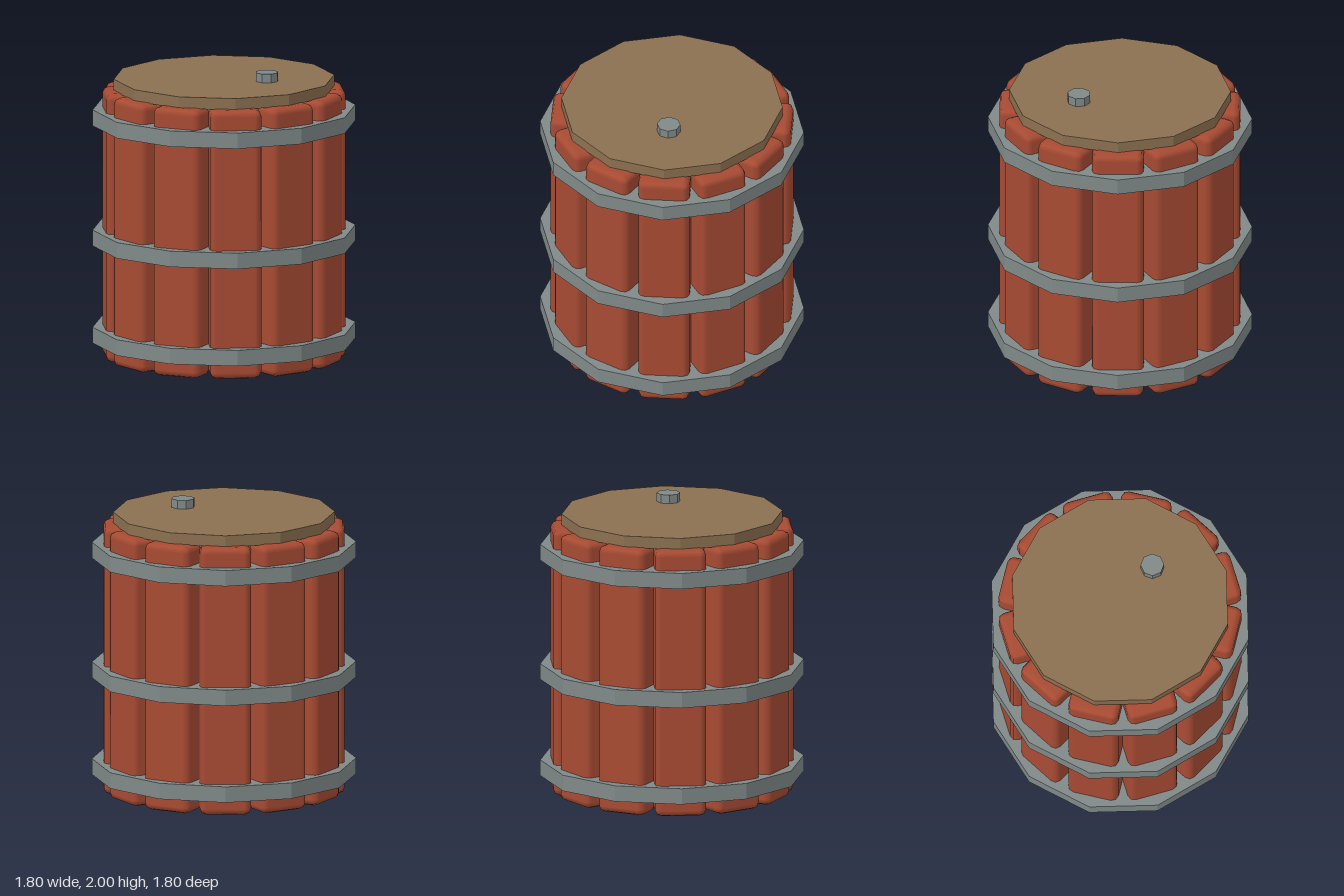
import * as THREE from 'three';
import { RoundedBoxGeometry } from 'three/addons/geometries/RoundedBoxGeometry.js';

function material(name, color, flatShading) {
  const m = new THREE.MeshStandardMaterial({ color, flatShading });
  m.name = name;
  return m;
}

export function createModel() {
  const barrel = new THREE.Group();
  barrel.name = 'barrel';

  const redWood = material('redWood', 0xa84b33, false);
  const lidWood = material('lidWood', 0x8b7050, true);
  const iron = material('iron', 0x808a89, true);

  // Faceted disc between two heights
  function disc(name, radius, sides, y0, y1, mat, x = 0) {
    const mesh = new THREE.Mesh(new THREE.CylinderGeometry(radius, radius, y1 - y0, sides), mat);
    mesh.position.set(x, (y0 + y1) / 2, 0);
    mesh.name = name;
    barrel.add(mesh);
  }

  // Twelve upright staves with softened edges
  const staveGeometry = new RoundedBoxGeometry(0.35, 1.865, 0.22, 1, 0.045);
  for (let i = 0; i < 12; i++) {
    const angle = (i * Math.PI) / 6;
    const stave = new THREE.Mesh(staveGeometry, redWood);
    stave.name = 'stave';
    stave.position.set(Math.sin(angle) * 0.71, 1.865 / 2, Math.cos(angle) * 0.71);
    stave.rotation.y = angle;
    barrel.add(stave);
  }

  // Hoops, solid through the barrel so the lowest one closes the bottom
  for (const y of [0.165, 0.84, 1.675]) disc('hoop', 0.9, 12, y - 0.055, y + 0.055, iron);

  // Lid and its off-centre bung
  disc('lid', 0.755, 12, 1.86, 1.94, lidWood);
  disc('bung', 0.08, 8, 1.94, 2.0, iron, 0.32);

  return barrel;
}
